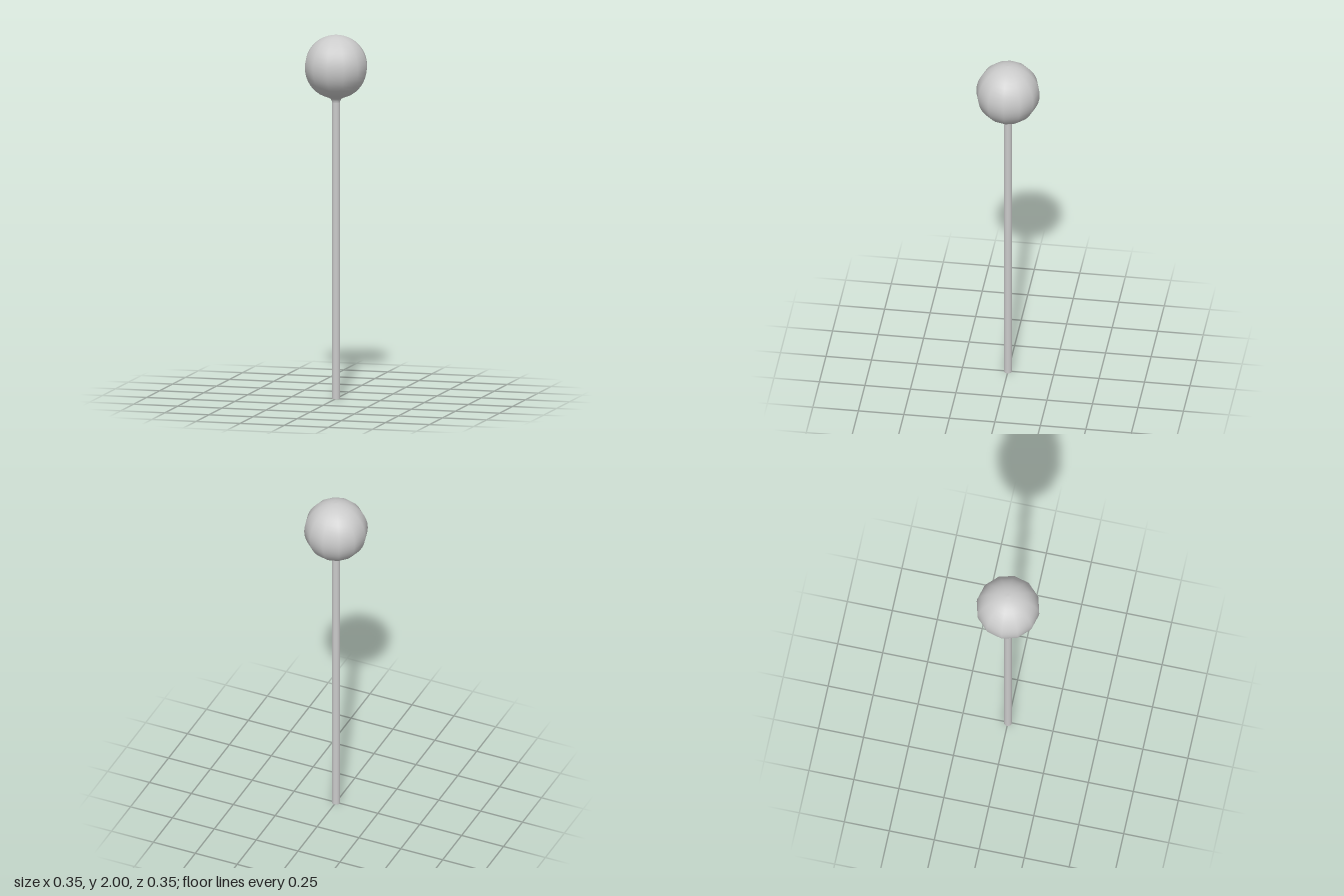
import * as THREE from 'three';

const SIDES = 12;
const STICK_R = 0.023, STICK_TOP = 1.63;
const BALL_R = 0.174, BALL_Y = 2 - BALL_R;

export function createModel() {
  const group = new THREE.Group();
  group.name = 'ballTippedStick';
  const material = new THREE.MeshStandardMaterial({ color: 0xcccccc });
  const add = (name, geometry, y = 0) => {
    const mesh = new THREE.Mesh(geometry, material);
    mesh.name = name;
    mesh.position.y = y;
    group.add(mesh);
    return mesh;
  };

  // Straight stick, open where the neck continues it
  add('stick', new THREE.CylinderGeometry(STICK_R, STICK_R, STICK_TOP, SIDES, 1, true), STICK_TOP / 2);

  // Flat foot of the stick, its corners in line with the sides
  add('stickEnd', new THREE.CircleGeometry(STICK_R, SIDES).rotateX(Math.PI / 2));

  // Small flared neck running smoothly into the round ball
  const profile = [
    new THREE.Vector2(STICK_R, STICK_TOP),
    new THREE.Vector2(STICK_R + 0.001, 1.64),
    new THREE.Vector2(0.03, 1.65),
  ];
  const start = Math.asin(0.045 / BALL_R), steps = 20;
  for (let i = 0; i <= steps; i++) {
    const a = start + (Math.PI - start) * i / steps;
    profile.push(new THREE.Vector2(
      i === steps ? 0 : BALL_R * Math.sin(a),
      BALL_Y - BALL_R * Math.cos(a)));
  }
  add('ball', new THREE.LatheGeometry(profile, SIDES));

  return group;
}
